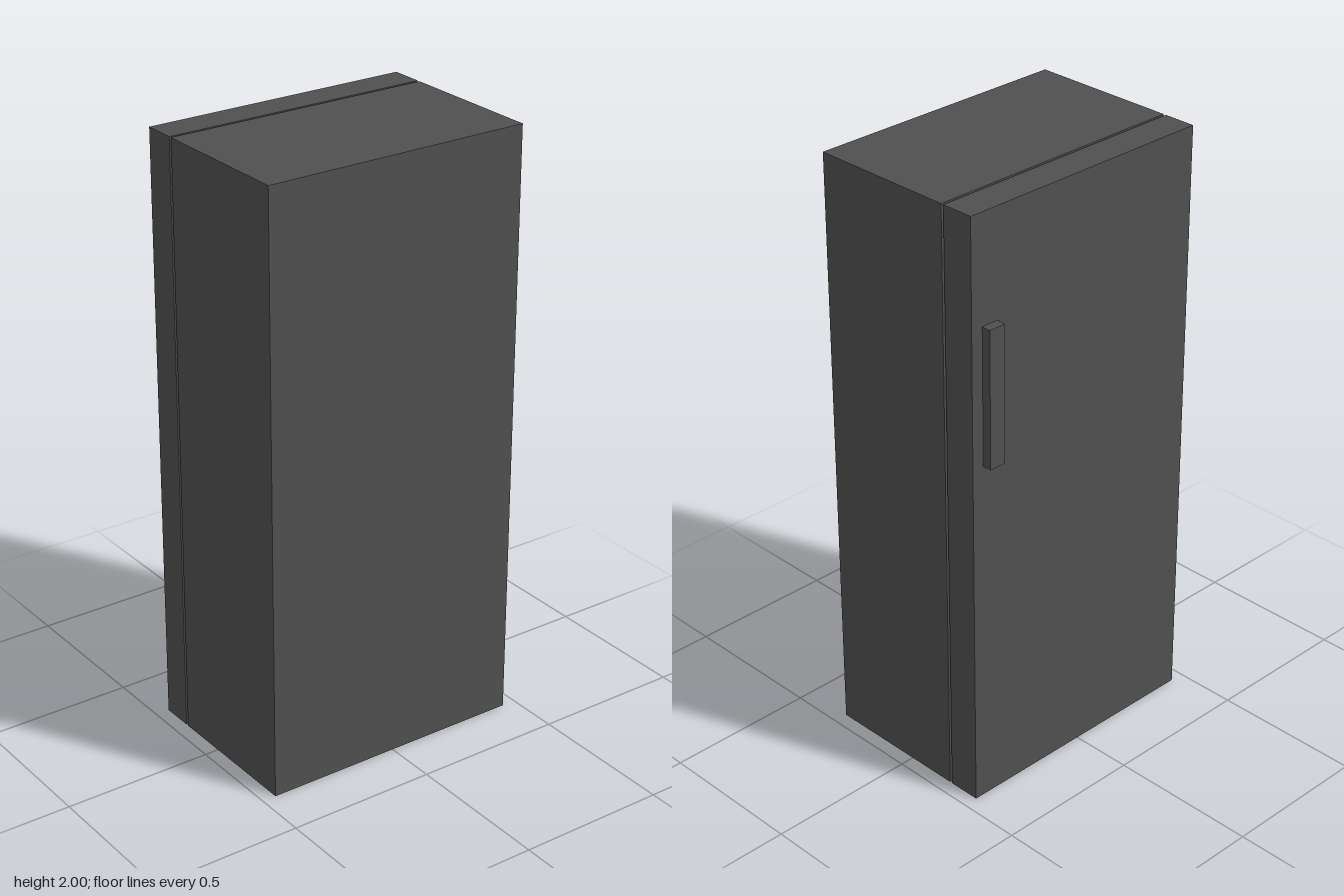
import * as THREE from 'three';

export function createModel() {
  const group = new THREE.Group();
  const material = new THREE.MeshStandardMaterial({ color: 0x505050 });

  // Adds a box given by its extents along each axis
  function addBox(name, [x0, x1], [y0, y1], [z0, z1]) {
    const mesh = new THREE.Mesh(new THREE.BoxGeometry(x1 - x0, y1 - y0, z1 - z0), material);
    mesh.position.set((x0 + x1) / 2, (y0 + y1) / 2, (z0 + z1) / 2);
    mesh.name = name;
    group.add(mesh);
  }

  // Cabinet and door, separated by a narrow open gap
  addBox('cabinet', [-0.453, 0.453], [0, 2], [-0.175, 0.323]);
  addBox('door', [-0.453, 0.453], [0, 2], [-0.293, -0.184]);

  // Upright handle on the outer face of the door
  addBox('handle', [0.353, 0.412], [1.19, 1.646], [-0.324, -0.293]);

  return group;
}
